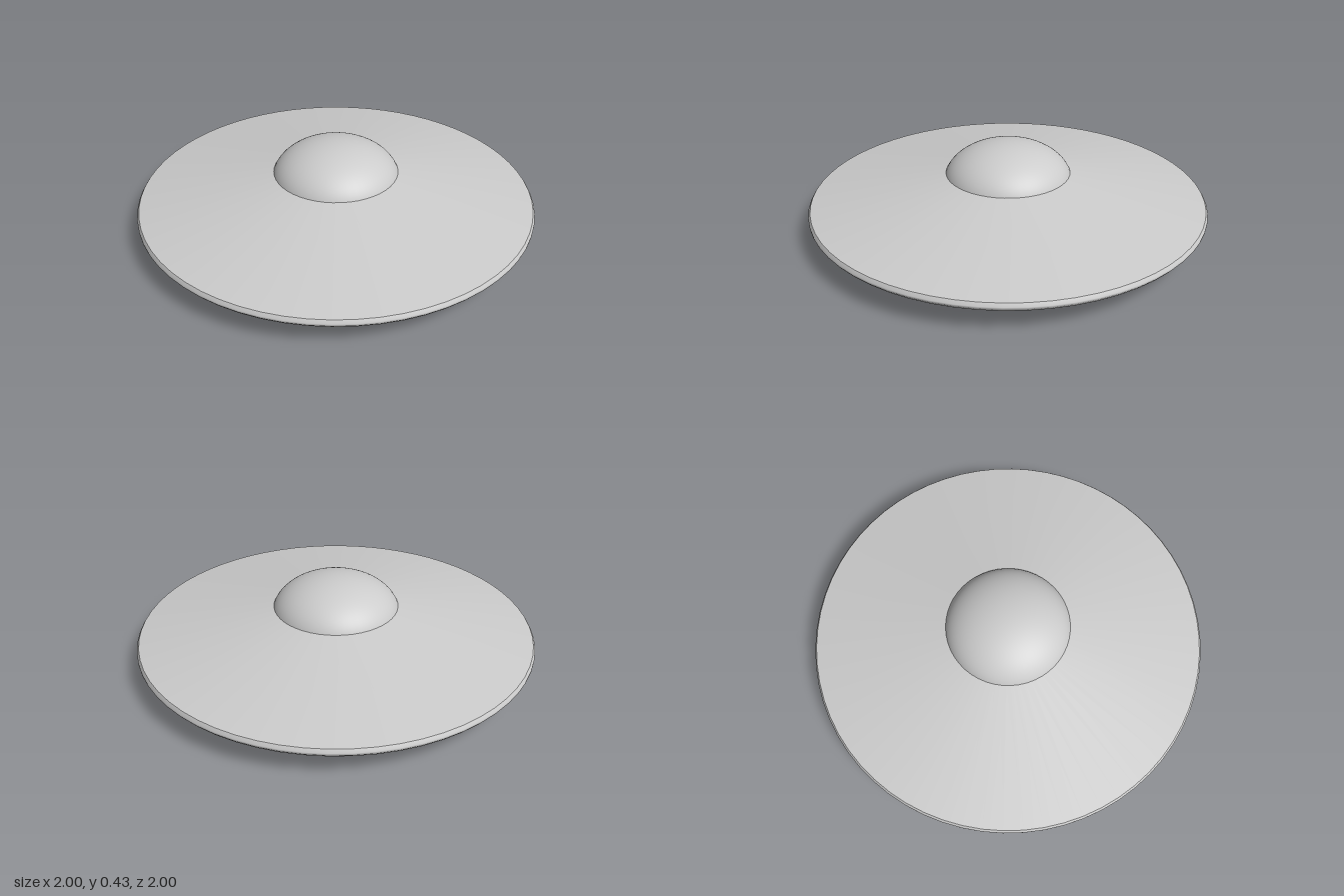
import * as THREE from 'three';

const SEGMENTS = 64;

export function createModel() {
  const group = new THREE.Group();
  const material = new THREE.MeshStandardMaterial({ color: 0xcccccc });

  const add = (name, geometry) => {
    const mesh = new THREE.Mesh(geometry, material);
    mesh.name = name;
    group.add(mesh);
    return mesh;
  };
  // Profiles are [radius, height] pairs running from bottom to top
  const lathe = (name, profile) =>
    add(name, new THREE.LatheGeometry(profile.map(([r, y]) => new THREE.Vector2(r, y)), SEGMENTS));

  // Saucer body: flat belly, lower cone, bevelled rim and upper cone
  lathe('belly', [[0, 0], [0.31, 0]]);
  lathe('lowerHull', [[0.31, 0], [0.99, 0.126]]);
  lathe('rim', [[0.99, 0.126], [1, 0.139], [1, 0.148], [0.99, 0.163]]);
  lathe('upperHull', [[0.99, 0.163], [0.31, 0.28]]);

  // Flattened cockpit dome, its lower part sunk into the hull
  const dome = add('dome', new THREE.SphereGeometry(1, 48, 24, 0, Math.PI * 2, 0, Math.PI / 2));
  dome.scale.set(0.325, 0.2, 0.325);
  dome.position.y = 0.23;

  return group;
}
